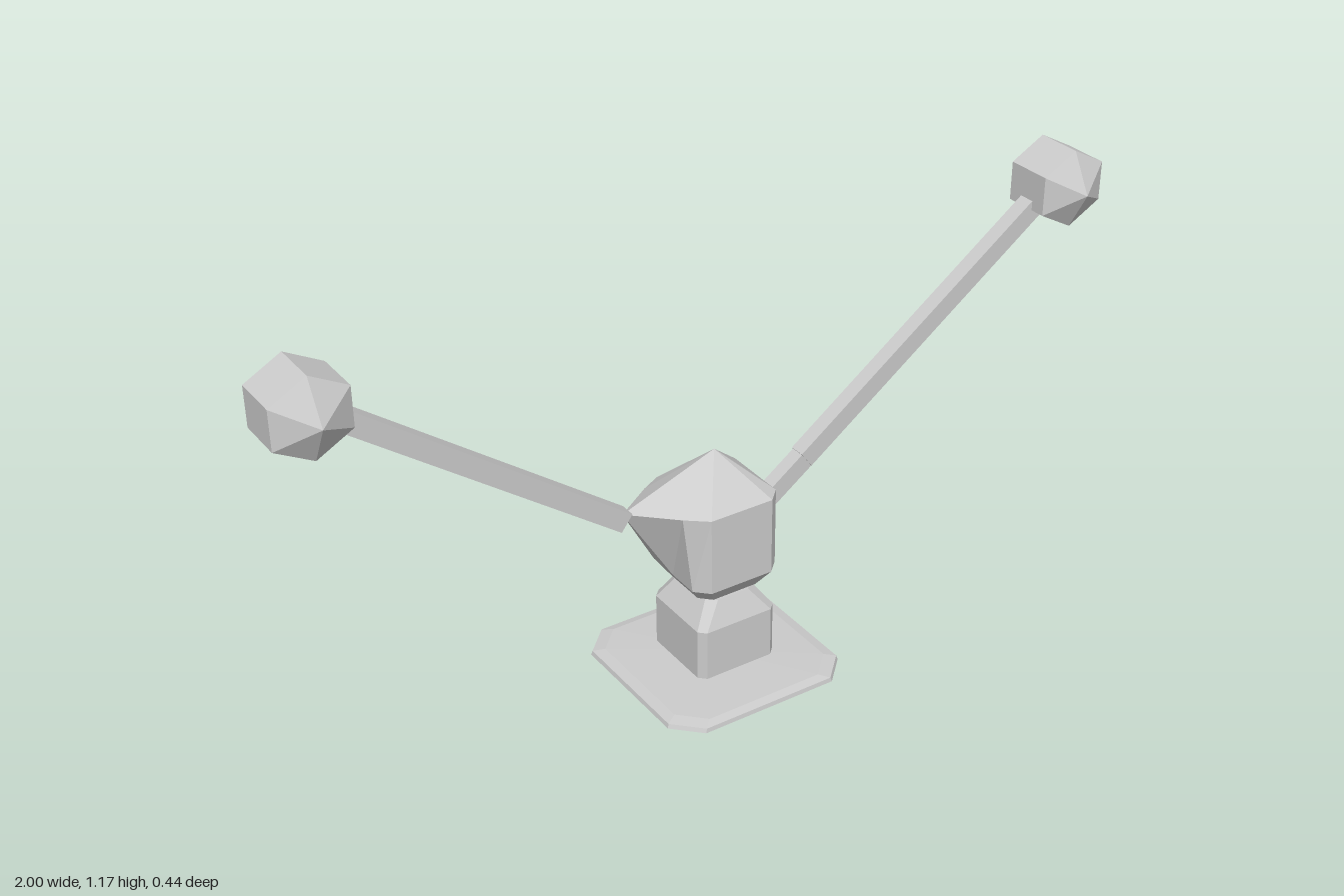
import * as THREE from 'three';

const material = new THREE.MeshStandardMaterial({ color: 0xcccccc, flatShading: true });

function addMesh(parent, name, geometry) {
  const mesh = new THREE.Mesh(geometry, material);
  mesh.name = name;
  parent.add(mesh);
  return mesh;
}

// Square with cut corners; points run from +x towards +z
function cutSquare(y, half, cut, xHalf = half) {
  const h = half - cut, x = xHalf - cut;
  return [
    [xHalf, -h], [xHalf, h], [x, half], [-x, half],
    [-xHalf, h], [-xHalf, -h], [-x, -half], [x, -half],
  ].map(([px, pz]) => new THREE.Vector3(px, y, pz));
}

const tip = (y, count) => Array.from({ length: count }, () => new THREE.Vector3(0, y, 0));

// Skin a stack of rings, bottom to top
function loft(rings) {
  const pos = [];
  const tri = (a, b, c) => {
    if (a.equals(b) || b.equals(c) || a.equals(c)) return;
    for (const p of [a, b, c]) pos.push(p.x, p.y, p.z);
  };
  for (let r = 0; r < rings.length - 1; r++) {
    const low = rings[r], up = rings[r + 1], n = low.length;
    for (let i = 0; i < n; i++) {
      const j = (i + 1) % n;
      tri(low[i], up[i], low[j]);
      tri(low[j], up[i], up[j]);
    }
  }
  const g = new THREE.BufferGeometry();
  g.setAttribute('position', new THREE.Float32BufferAttribute(pos, 3));
  g.computeVertexNormals();
  return g;
}

// Square bar between two points in the xy plane
function bar(parent, name, x0, y0, x1, y1, thick, depth) {
  const mesh = addMesh(parent, name, new THREE.BoxGeometry(Math.hypot(x1 - x0, y1 - y0), thick, depth));
  mesh.position.set((x0 + x1) / 2, (y0 + y1) / 2, 0);
  mesh.rotation.z = Math.atan2(y1 - y0, x1 - x0);
}

export function createModel() {
  const model = new THREE.Group();
  model.name = 'model';

  // Pointed base with a thin, nearly flat top
  addMesh(model, 'base', loft([
    tip(0, 8), cutSquare(0.135, 0.222, 0.06, 0.228), cutSquare(0.145, 0.22, 0.06, 0.225),
    cutSquare(0.15, 0.2, 0.055), tip(0.155, 8),
  ]));

  // Neck block with tapered shoulders
  addMesh(model, 'neck', loft([
    tip(0.17, 8), cutSquare(0.17, 0.1, 0.016), cutSquare(0.293, 0.1, 0.016),
    cutSquare(0.35, 0.075, 0.02, 0.06), tip(0.35, 8),
  ]));

  // Head: the -x side has an extra point, drawn out to a beak at the upper ring
  const withBeak = (ring, x, y) => {
    ring.splice(5, 0, new THREE.Vector3(x, y, 0));
    return ring;
  };
  const brow = withBeak(cutSquare(0.585, 0.108, 0.03), -0.232, 0.6);
  brow[4].set(-0.13, 0.59, 0.076);
  brow[6].set(-0.13, 0.59, -0.076);
  addMesh(model, 'head', loft([
    tip(0.36, 9),
    withBeak(cutSquare(0.36, 0.08, 0.025), -0.08, 0.36),
    withBeak(cutSquare(0.4, 0.108, 0.03), -0.108, 0.4),
    brow,
    tip(0.685, 9),
  ]));

  // Short inner bar joining the left arm to the head
  bar(model, 'leftShoulder', 0.1, 0.49, 0.236, 0.588, 0.044, 0.034);

  // Arms with faceted hexagonal knobs at their ends
  const profile = [[0, -0.105], [0.09, -0.055], [0.09, 0.055], [0, 0.105]]
    .map(([r, y]) => new THREE.Vector2(r, y));
  for (const [side, s] of [['left', 1], ['right', -1]]) {
    bar(model, side + 'Arm', s * 0.232, 0.588, s * 0.85, 1.04, 0.046, 0.038);
    const knob = addMesh(model, side + 'Knob', new THREE.LatheGeometry(profile, 6).rotateX(Math.PI / 2));
    knob.scale.x = 1.06;
    knob.position.set(s * 0.917, 1.08, 0);
  }
  return model;
}
